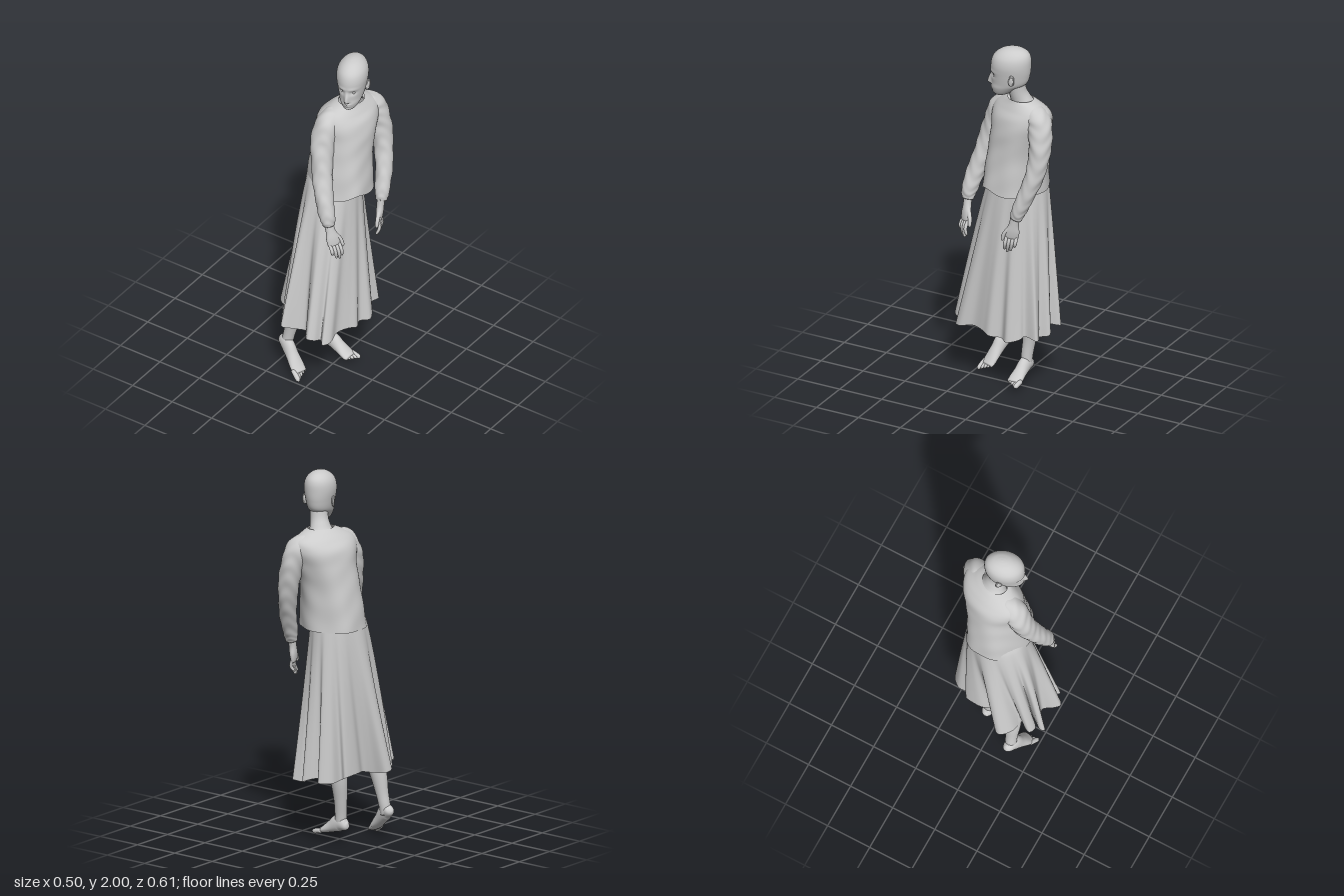
import * as THREE from 'three';

const V = (x, y, z) => new THREE.Vector3(x, y, z);
const mat = new THREE.MeshStandardMaterial({ color: 0xcccccc });
const cloth = new THREE.MeshStandardMaterial({ color: 0xcccccc, side: THREE.DoubleSide });
const FRONT = V(0.95, 0, 0.3), SIDE = V(-0.3, 0, 0.95).normalize(); // the body's own axes
const bump = (x, c, w) => Math.exp(-(((x - c) / w) ** 2));

// Skin a list of rings (equal point counts), optionally closing both ends
function skin(rings, caps) {
  const n = rings[0].length, m = rings.length, pos = [], idx = [];
  rings.forEach(r => r.forEach(p => pos.push(p.x, p.y, p.z)));
  for (let i = 0; i < m - 1; i++) for (let j = 0; j < n; j++) {
    const a = i * n + j, b = i * n + (j + 1) % n;
    idx.push(a, b, b + n, a, b + n, a + n);
  }
  if (caps) [0, m - 1].forEach((row, e) => {
    const c = rings[row].reduce((s, p) => s.add(p), V(0, 0, 0)).divideScalar(n);
    const k = pos.length / 3;
    pos.push(c.x, c.y, c.z);
    for (let j = 0; j < n; j++) {
      const a = row * n + j, b = row * n + (j + 1) % n;
      if (e) idx.push(a, b, k); else idx.push(b, a, k);
    }
  });
  const g = new THREE.BufferGeometry();
  g.setAttribute('position', new THREE.Float32BufferAttribute(pos, 3));
  g.setIndex(idx);
  g.computeVertexNormals();
  return g;
}

// Sweep an ellipse through stations [x, y, z, radius along side, other radius]
function sweep(st, side, { n = 20, m = 24, flat = false, caps = true, swell = () => 1, rule } = {}) {
  const path = new THREE.CatmullRomCurve3(st.map(s => V(s[0], s[1], s[2])), false, 'catmullrom');
  const size = new THREE.CatmullRomCurve3(st.map(s => V(s[3], s[4] ?? s[3], 0)), false, 'catmullrom');
  const rings = [];
  for (let i = 0; i <= m; i++) {
    const t = i / m, c = path.getPoint(t), r = size.getPoint(t);
    const dir = flat ? V(0, 1, 0) : path.getTangent(t);
    const u = side.clone().addScaledVector(dir, -side.dot(dir)).normalize();
    const v = dir.clone().cross(u), ring = [];
    for (let j = 0; j < n; j++) {
      const a = j / n * Math.PI * 2, k = swell(t, a);
      const p = c.clone().addScaledVector(u, r.x * k * Math.cos(a)).addScaledVector(v, r.y * k * Math.sin(a));
      if (rule) rule(p, t, a);
      ring.push(p);
    }
    rings.push(ring);
  }
  return skin(rings, caps);
}

function add(parent, name, geo, material = mat) {
  const mesh = new THREE.Mesh(geo, material);
  mesh.name = name;
  parent.add(mesh);
  return mesh;
}

function makeHead() {
  const head = new THREE.Group();
  head.name = 'head';
  head.position.set(0.095, 0, -0.04);
  head.rotation.y = 0.3;
  // y, forward shift, half width, half depth
  const levels = [[1.722, 0.052, 0.018, 0.022], [1.738, 0.042, 0.037, 0.046], [1.77, 0.024, 0.055, 0.073],
    [1.8, 0.002, 0.065, 0.094], [1.85, -0.004, 0.075, 0.104], [1.9, -0.006, 0.082, 0.107],
    [1.94, -0.01, 0.078, 0.102], [1.968, -0.015, 0.064, 0.086], [1.988, -0.018, 0.042, 0.058],
    [1.997, -0.018, 0.02, 0.028], [2.0, -0.018, 0.003, 0.004]];
  // Facial relief: nose, eye sockets, brow, lips, chin
  const face = p => {
    if (p.z < 0.02) return;
    const { x, y } = p, ax = Math.abs(x);
    const nose = THREE.MathUtils.smoothstep(1.86 - y, 0, 0.07) * THREE.MathUtils.smoothstep(y, 1.778, 1.79);
    p.z += 0.024 * nose * bump(x, 0, 0.012) - 0.01 * bump(ax, 0.031, 0.017) * bump(y, 1.843, 0.013)
      + 0.004 * bump(ax, 0.03, 0.03) * bump(y, 1.866, 0.01)
      + 0.006 * bump(x, 0, 0.02) * (bump(y, 1.769, 0.005) + bump(y, 1.758, 0.005))
      + 0.005 * bump(x, 0, 0.02) * bump(y, 1.736, 0.01);
  };
  add(head, 'skull', sweep(levels.map(([y, z, w, d]) => [0, y, z, w, d]), V(1, 0, 0),
    { n: 96, m: 100, flat: true, rule: face }));
  for (const s of [-1, 1]) {
    add(head, 'eye', new THREE.SphereGeometry(0.011, 16, 10)).position.set(s * 0.03, 1.843, 0.073);
    const ear = add(head, 'ear', new THREE.SphereGeometry(1, 16, 12));
    ear.scale.set(0.008, 0.03, 0.017);
    ear.position.set(s * 0.077, 1.837, -0.022);
    ear.rotation.set(-0.2, s * -0.35, 0);
    const rim = add(head, 'earRim', new THREE.TorusGeometry(0.018, 0.004, 8, 20));
    rim.scale.set(0.75, 1.4, 1);
    rim.position.set(s * 0.081, 1.839, -0.024);
    rim.rotation.y = s * (Math.PI / 2 - 0.35);
  }
  return head;
}

// Hand hanging from wrist to tip; thumb points along spread
function makeHand(name, wrist, tip, spread) {
  const hand = new THREE.Group();
  hand.name = name;
  const at = (t, s) => wrist.clone().lerp(tip, t).addScaledVector(spread, s);
  const row = (p, a, b) => [p.x, p.y, p.z, a, b];
  add(hand, 'palm', sweep([row(at(-0.25, 0), 0.026, 0.021), row(at(0.05, 0), 0.026, 0.02),
    row(at(0.3, 0), 0.036, 0.019), row(at(0.52, 0), 0.036, 0.014), row(at(0.58, 0), 0.028, 0.008)], spread));
  const bend = spread.clone().cross(V(0, 1, 0)).multiplyScalar(name === 'rightHand' ? 0.012 : -0.012);
  [0.88, 1, 1.03, 0.95].forEach((len, k) => {
    const s = (k - 1.5) * 0.017;
    add(hand, 'finger', sweep([row(at(0.48, s), 0.009), row(at(0.72, s * 1.05).add(bend), 0.0095),
      row(at(len - 0.02, s), 0.007), row(at(len, s), 0.002)], spread, { n: 10, m: 12 }));
  });
  add(hand, 'thumb', sweep([row(at(0.15, 0.015), 0.013), row(at(0.4, 0.04), 0.011),
    row(at(0.6, 0.045), 0.009), row(at(0.66, 0.045), 0.003)], spread, { n: 10, m: 12 }));
  return hand;
}

// Bare foot from heel to ball, with five toes
function makeFoot(name, heel, ball, inner) {
  const foot = new THREE.Group();
  foot.name = name;
  const dir = ball.clone().sub(heel), side = V(-dir.z, 0, dir.x).normalize();
  const at = (t, up, w, h) => { const p = heel.clone().addScaledVector(dir, t); return [p.x, p.y + up, p.z, w, h]; };
  add(foot, 'sole', sweep([at(-0.14, 0.014, 0.01, 0.012), at(-0.03, 0.016, 0.027, 0.03), at(0.25, 0.03, 0.032, 0.046),
    at(0.55, 0.017, 0.035, 0.034), at(0.85, 0.004, 0.041, 0.021), at(1.05, 0, 0.036, 0.012)], side));
  for (let k = 0; k < 5; k++) {
    const s = (k - 2) * 0.016 * inner, r = k ? 0.0085 : 0.013, reach = 1.28 - k * 0.055;
    const toe = [at(0.9 - k * 0.02, 0, r), at(reach - 0.08, 0, r), at(reach, -0.002, r * 0.3)];
    toe.forEach(p => { p[0] += side.x * s; p[2] += side.z * s; });
    add(foot, 'toe', sweep(toe, side, { n: 10, m: 10 }));
  }
  return foot;
}

// Long skirt: a smooth waist opening into deep round folds at the hem
function skirtGeometry() {
  const hemPts = [[0.18, 0.04], [0.16, 0.09], [0.135, 0.16], [0.145, 0.23], [0.12, 0.27], [0.095, 0.25], [0.08, 0.29],
    [0.05, 0.31], [0.02, 0.28], [-0.01, 0.235], [-0.06, 0.26], [-0.11, 0.305], [-0.125, 0.28], [-0.08, 0.22],
    [-0.12, 0.255], [-0.16, 0.24], [-0.15, 0.205], [-0.13, 0.18], [-0.2, 0.165], [-0.25, 0.12], [-0.24, 0.08],
    [-0.18, 0.06], [-0.14, 0.02], [-0.165, -0.05], [-0.155, -0.14], [-0.12, -0.14], [-0.115, -0.21], [-0.06, -0.255],
    [-0.03, -0.2], [0.01, -0.235], [0.05, -0.25], [0.07, -0.2], [0.1, -0.215], [0.14, -0.22], [0.13, -0.15],
    [0.16, -0.13], [0.19, -0.07], [0.155, -0.02]];
  const hem = new THREE.CatmullRomCurve3(hemPts.map(([x, z]) => V(x, 0, z)), true, 'catmullrom');
  const rings = [], n = 228, m = 48;
  for (let i = 0; i <= m; i++) {
    const t = i / m, ease = t ** 0.75, fold = t ** 1.3, ring = [];
    for (let j = 0; j < n; j++) {
      const a = j / n * Math.PI * 2, c = Math.cos(a), s = Math.sin(a), h = hem.getPoint(j / n);
      const waist = V(-0.015 + 0.13 * c, 0, -0.038 + 0.15 * s);
      const bell = V(-0.03 + 0.195 * c, 0, 0.025 + 0.265 * s);
      const p = waist.lerp(bell, ease).addScaledVector(h.clone().sub(bell), fold);
      p.y = 1.23 + (0.365 - 0.13 * h.x + 0.012 * Math.sin(a * 7) - 1.23) * t;
      ring.push(p);
    }
    rings.push(ring);
  }
  return skin(rings, false);
}

export function createModel() {
  const g = new THREE.Group();
  g.name = 'standingWoman';
  g.add(makeHead());
  add(g, 'neck', sweep([[0.05, 1.66, -0.09, 0.085, 0.066], [0.062, 1.7, -0.085, 0.06, 0.052],
    [0.077, 1.75, -0.076, 0.048, 0.047], [0.09, 1.83, -0.066, 0.05, 0.05]], SIDE));

  // Boxy top, open at the hem and neckline, the hem lifted a little in front
  add(g, 'top', sweep([[0.02, 1.17, -0.034, 0.168, 0.188], [0.022, 1.3, -0.042, 0.16, 0.174],
    [0.027, 1.42, -0.055, 0.158, 0.158], [0.035, 1.52, -0.073, 0.168, 0.146], [0.037, 1.6, -0.083, 0.184, 0.13],
    [0.043, 1.65, -0.088, 0.172, 0.1], [0.052, 1.685, -0.086, 0.118, 0.074], [0.06, 1.703, -0.084, 0.074, 0.059]],
  SIDE, { n: 80, m: 60, flat: true, caps: false,
    swell: (t, a) => 1 + 0.02 * (1 - t) * Math.sin(a * 6 + t * 4) + 0.008 * Math.sin(t * 34 + 3 * Math.sin(a * 2)) * (1 - t),
    rule: (p, t, a) => { p.y += 0.03 * (1 - t) ** 6 * bump(a, 1.4, 0.35); } }), cloth);

  // Sleeves with fine gathered wrinkles
  const wrinkles = (t, a) => 1 + 0.025 * Math.sin(t * 60 + 3 * Math.sin(a * 2)) + 0.025 * Math.sin(t * 25 + a * 3);
  const sleeves = {
    rightSleeve: [[0.03, 1.645, -0.02, 0.05], [0.008, 1.605, 0.05, 0.066], [0.003, 1.5, 0.098, 0.064], [0.025, 1.37, 0.135, 0.056],
      [0.062, 1.24, 0.173, 0.05], [0.1, 1.13, 0.197, 0.043], [0.113, 1.075, 0.2, 0.032]],
    leftSleeve: [[0.075, 1.645, -0.15, 0.05], [0.1, 1.605, -0.215, 0.066], [0.13, 1.5, -0.24, 0.061], [0.157, 1.37, -0.235, 0.053],
      [0.186, 1.24, -0.2, 0.046], [0.205, 1.13, -0.157, 0.04], [0.21, 1.075, -0.14, 0.031]],
  };
  for (const [name, st] of Object.entries(sleeves))
    add(g, name, sweep(st, FRONT, { n: 36, m: 90, swell: wrinkles }), cloth);
  g.add(makeHand('rightHand', V(0.12, 1.05, 0.2), V(0.168, 0.885, 0.195), V(0.5, 0, -0.85).normalize()));
  g.add(makeHand('leftHand', V(0.212, 1.05, -0.13), V(0.215, 0.885, -0.1), V(0.35, 0, 0.93).normalize()));

  add(g, 'skirt', skirtGeometry(), cloth);

  // Bare legs and feet
  add(g, 'rightLeg', sweep([[-0.06, 0.72, 0.07, 0.065], [-0.1, 0.52, 0.11, 0.05], [-0.145, 0.37, 0.133, 0.046],
    [-0.17, 0.25, 0.14, 0.034], [-0.183, 0.19, 0.143, 0.031], [-0.19, 0.14, 0.148, 0.03]], SIDE));
  add(g, 'leftLeg', sweep([[-0.01, 0.72, -0.09, 0.065], [-0.045, 0.52, -0.095, 0.05], [-0.06, 0.37, -0.085, 0.046],
    [-0.06, 0.25, -0.07, 0.036], [-0.055, 0.17, -0.06, 0.032], [-0.05, 0.1, -0.055, 0.03]], SIDE));
  g.add(makeFoot('rightFoot', V(-0.215, 0.145, 0.142), V(-0.08, 0.037, 0.19), -1));
  g.add(makeFoot('leftFoot', V(-0.08, 0.088, -0.058), V(0.072, 0.052, -0.05), 1));
  return g;
}
